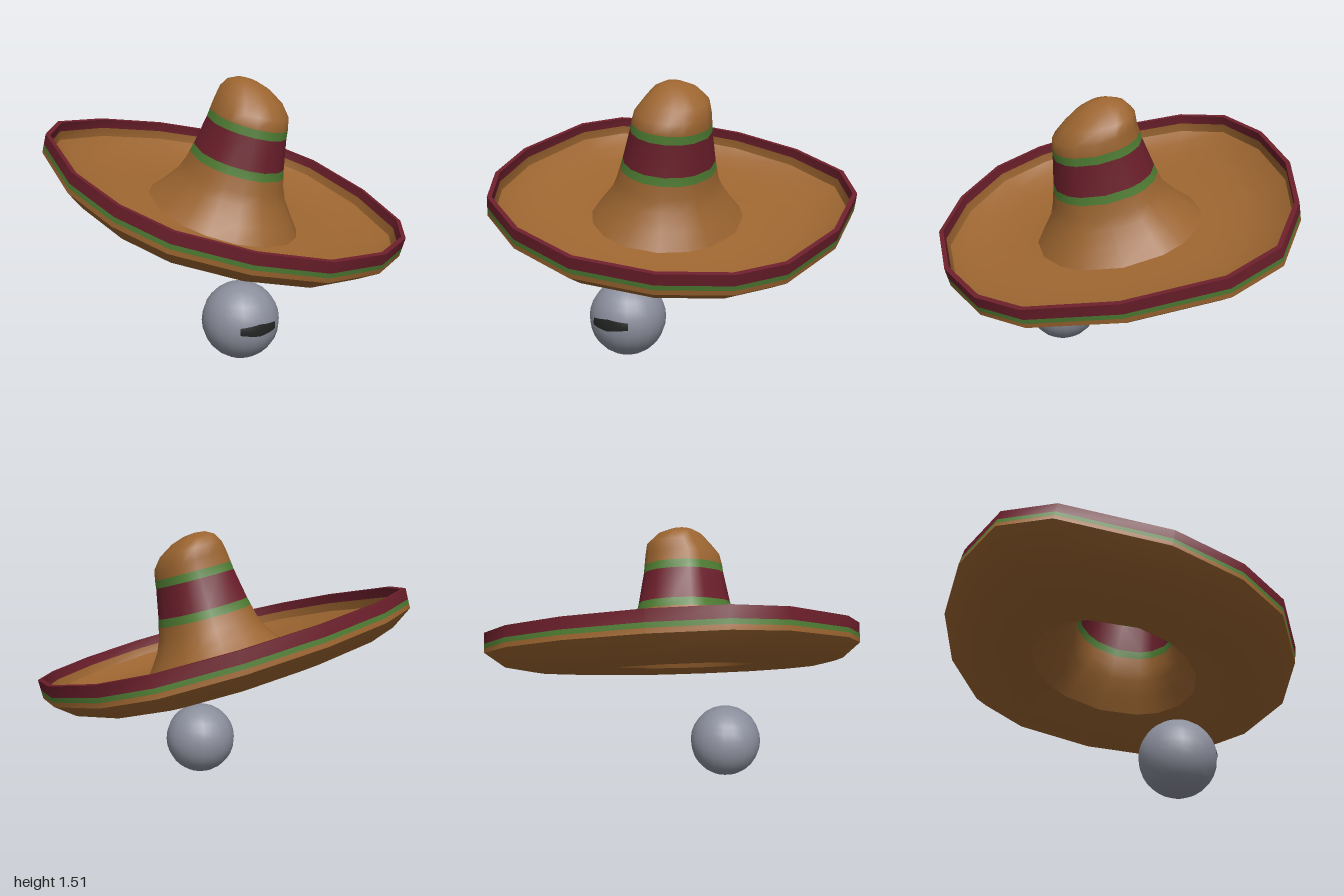
import * as THREE from 'three';

const BROWN = 0x9c6530, RED = 0x6c1f2b, GREEN = 0x4f7d33, GREY = 0x8b8e9c, DARK = 0x222323;
const mat = (color, side = THREE.FrontSide) => new THREE.MeshStandardMaterial({ color, side });

// The hat leans: its rim lies in a plane through CENTRE, perpendicular to AXIS.
const CENTRE = new THREE.Vector3(0, 0.935, 0);
const SLOPE_X = 0.207, SLOPE_Z = 0.18;
const AXIS = new THREE.Vector3(SLOPE_X, 1, SLOPE_Z).normalize();

// Plan of the slightly uneven 16-sided rim as [x, z]
const RIM = [
  [0.975, -0.13], [0.935, 0.345], [0.795, 0.605], [0.515, 0.845], [0.135, 0.995], [-0.245, 0.975],
  [-0.59, 0.83], [-0.785, 0.59], [-0.92, 0.23], [-0.955, -0.34], [-0.84, -0.625], [-0.53, -0.84],
  [-0.11, -0.97], [0.315, -0.98], [0.685, -0.865], [0.875, -0.62],
];

// Point on the leaning plane, raised by h along the hat's axis
const place = (x, z, h) =>
  new THREE.Vector3(x, -SLOPE_X * x - SLOPE_Z * z, z).add(CENTRE).addScaledVector(AXIS, h);

// Ring that scales the rim outline
const rimRing = ([s, h]) => RIM.map(([x, z]) => place(x * s, z * s, h));

// Oval ring of the crown, with its centre moved by dx, dz
const crownRing = ([r, h, dx, dz]) => RIM.map(([x, z]) => {
  const k = r * 0.98 / Math.hypot(x, z);
  return place(x * k + dx, z * k * 1.13 + dz, h);
});

// Skin stretched over closed rings; colors gives one color per band between rings
function skin(name, rings, colors, side) {
  const n = RIM.length, index = [];
  const geo = new THREE.BufferGeometry().setFromPoints(rings.flat());
  const used = [...new Set(colors)];
  colors.forEach((color, i) => {
    geo.addGroup(index.length, n * 6, used.indexOf(color));
    for (let j = 0; j < n; j++) {
      const a = i * n + j, b = i * n + (j + 1) % n;
      index.push(a, a + n, b, b, a + n, b + n);
    }
  });
  geo.setIndex(index);
  geo.computeVertexNormals();
  const mesh = new THREE.Mesh(geo, used.map((c) => mat(c, side)));
  mesh.name = name;
  return mesh;
}

function createHat() {
  const hat = new THREE.Group();
  hat.name = 'hat';
  const base = [0.425, -0.195, 0.013, 0.01];
  const hole = crownRing(base);

  // Brim: bowl-shaped underside, striped edge, flat lip, inner wall and floor
  hat.add(skin('brimUnderside',
    [hole, ...[[0.6, -0.225], [0.76, -0.222], [0.9, -0.192], [1, -0.11]].map(rimRing)],
    Array(4).fill(BROWN)));
  hat.add(skin('brimEdge', [[1, -0.11], [1, -0.085], [1, -0.06], [1, 0]].map(rimRing),
    [BROWN, GREEN, RED]));
  hat.add(skin('brimLip', [[1, 0], [0.975, 0]].map(rimRing), [RED]));
  hat.add(skin('brimInnerWall', [[0.975, 0], [0.975, -0.055], [0.965, -0.105]].map(rimRing),
    [RED, BROWN]));
  hat.add(skin('brimFloor',
    [...[[0.965, -0.105], [0.88, -0.16], [0.75, -0.19], [0.6, -0.203]].map(rimRing), hole],
    Array(4).fill(BROWN)));

  // Crown: flared base, three stripes and a lopsided dome, open below
  const flare = [base, [0.365, -0.115, 0.013, 0.02], [0.308, -0.03, 0.012, 0.025],
    [0.28, 0.04, 0.01, 0.03], [0.263, 0.11, 0.01, 0.03]];
  const stripes = [[0.252, 0.155, 0.01, 0.03], [0.22, 0.325, 0.01, 0.03], [0.215, 0.37, 0.01, 0.03]];
  const dome = [[0.205, 0.43, 0.01, 0.025], [0.174, 0.49, 0.005, -0.01], [0.12, 0.54, -0.015, -0.025],
    [0.06, 0.566, -0.03, -0.025], [0, 0.573, -0.035, -0.025]];
  hat.add(skin('crown', [...flare, ...stripes, ...dome].map(crownRing),
    [...Array(4).fill(BROWN), GREEN, RED, GREEN, ...Array(5).fill(BROWN)], THREE.DoubleSide));
  return hat;
}

function createBall() {
  const ball = new THREE.Group();
  ball.name = 'ball';
  ball.position.set(-0.056, 0.214, 0.322);
  const body = new THREE.Mesh(new THREE.SphereGeometry(0.213, 20, 14), mat(GREY));
  body.name = 'ballBody';

  // Dark slot on the front, narrowing toward both ends
  const deg = Math.PI / 180;
  const slotGeo = new THREE.SphereGeometry(0.215, 8, 2, 68 * deg, 60 * deg, 78 * deg, 18 * deg);
  const pos = slotGeo.attributes.position;
  for (let i = 0; i < pos.count; i++) {
    const narrowing = 1 - 4 * Math.abs(pos.getX(i) - 0.025);
    pos.setY(i, 0.011 + (pos.getY(i) - 0.011) * narrowing);
  }
  const slot = new THREE.Mesh(slotGeo, mat(DARK));
  slot.name = 'ballSlot';
  ball.add(body, slot);
  return ball;
}

export function createModel() {
  const model = new THREE.Group();
  model.name = 'hatAndBall';
  model.add(createHat(), createBall());
  return model;
}
